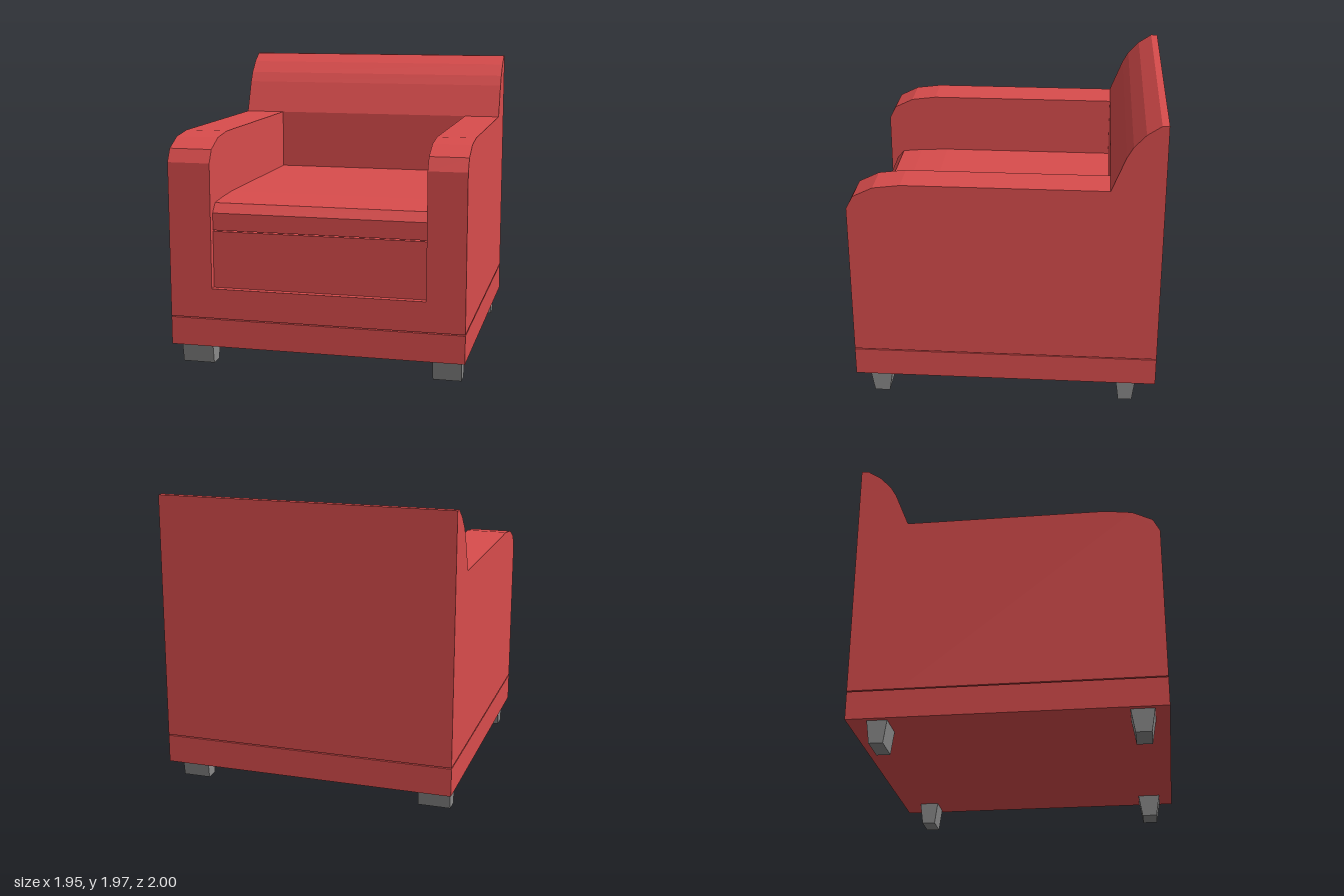
import * as THREE from 'three';

export function createModel() {
  const chair = new THREE.Group();
  chair.name = 'armchair';
  const redFabric = new THREE.MeshStandardMaterial({ color: 0xd94c4c });
  const greyLeg = new THREE.MeshStandardMaterial({ color: 0x8a8a8a });

  // Extrudes a side profile of [z, y] points from x0 to x1
  function addProfile(name, points, x0, x1, material = redFabric) {
    const shape = new THREE.Shape(points.map(([z, y]) => new THREE.Vector2(z, y)));
    const geometry = new THREE.ExtrudeGeometry(shape, { depth: x1 - x0, bevelEnabled: false });
    geometry.rotateY(-Math.PI / 2).translate(x1, 0, 0);
    const mesh = new THREE.Mesh(geometry, material);
    mesh.name = name;
    chair.add(mesh);
  }

  // Box given by its limits on each axis
  function addBox(name, [x0, x1], [y0, y1], [z0, z1]) {
    const geometry = new THREE.BoxGeometry(x1 - x0, y1 - y0, z1 - z0);
    const mesh = new THREE.Mesh(geometry, redFabric);
    mesh.position.set((x0 + x1) / 2, (y0 + y1) / 2, (z0 + z1) / 2);
    mesh.name = name;
    chair.add(mesh);
  }

  const half = 0.975;
  const innerRight = -0.69, innerLeft = 0.725;
  const bodyBottom = 0.342, armTop = 1.535, backFront = -0.66;

  // Plinth and the recessed seam above it
  addBox('plinth', [-half, half], [0.15, 0.335], [-1, 1]);
  addBox('plinthSeam', [-0.885, 0.885], [0.33, 0.347], [-0.95, 0.915]);

  // Full-width backrest with a curved upper front
  addProfile('backrest', [
    [-1, bodyBottom], [backFront, bodyBottom], [backFront, armTop], [-0.75, 1.76],
    [-0.79, 1.83], [-0.865, 1.91], [-0.955, 1.97], [-1, 1.97],
  ], -half, half);

  // Arms with rounded fronts
  const armProfile = [
    [backFront, bodyBottom], [1, bodyBottom], [1, 1.365], [0.955, 1.45],
    [0.825, 1.513], [0.65, armTop], [backFront, armTop],
  ];
  addProfile('rightArm', armProfile, -half, innerRight);
  addProfile('leftArm', armProfile, innerLeft, half);

  // Front rail, seat base and rounded cushion between the arms
  addBox('frontRail', [innerRight, innerLeft], [bodyBottom, 0.54], [backFront, 1]);
  addBox('seatBase', [innerRight, innerLeft], [0.54, 0.914], [backFront, 0.955]);
  addBox('cushionSeam', [innerRight, innerLeft], [0.91, 0.926], [backFront, 0.9]);
  addProfile('seatCushion', [
    [backFront, 0.922], [0.955, 0.922], [0.955, 1.035], [0.905, 1.095],
    [0.765, 1.108], [0.57, 1.117], [backFront, 1.117],
  ], innerRight, innerLeft);

  // Legs tapering front to back
  for (const [side, x0, x1] of [['right', -0.94, -0.725], ['left', 0.755, 0.94]]) {
    addProfile(side + 'FrontLeg', [[0.785, 0], [0.885, 0], [0.91, 0.15], [0.76, 0.15]], x0, x1, greyLeg);
    addProfile(side + 'BackLeg', [[-0.85, 0], [-0.76, 0], [-0.74, 0.15], [-0.87, 0.15]], x0, x1, greyLeg);
  }

  return chair;
}
